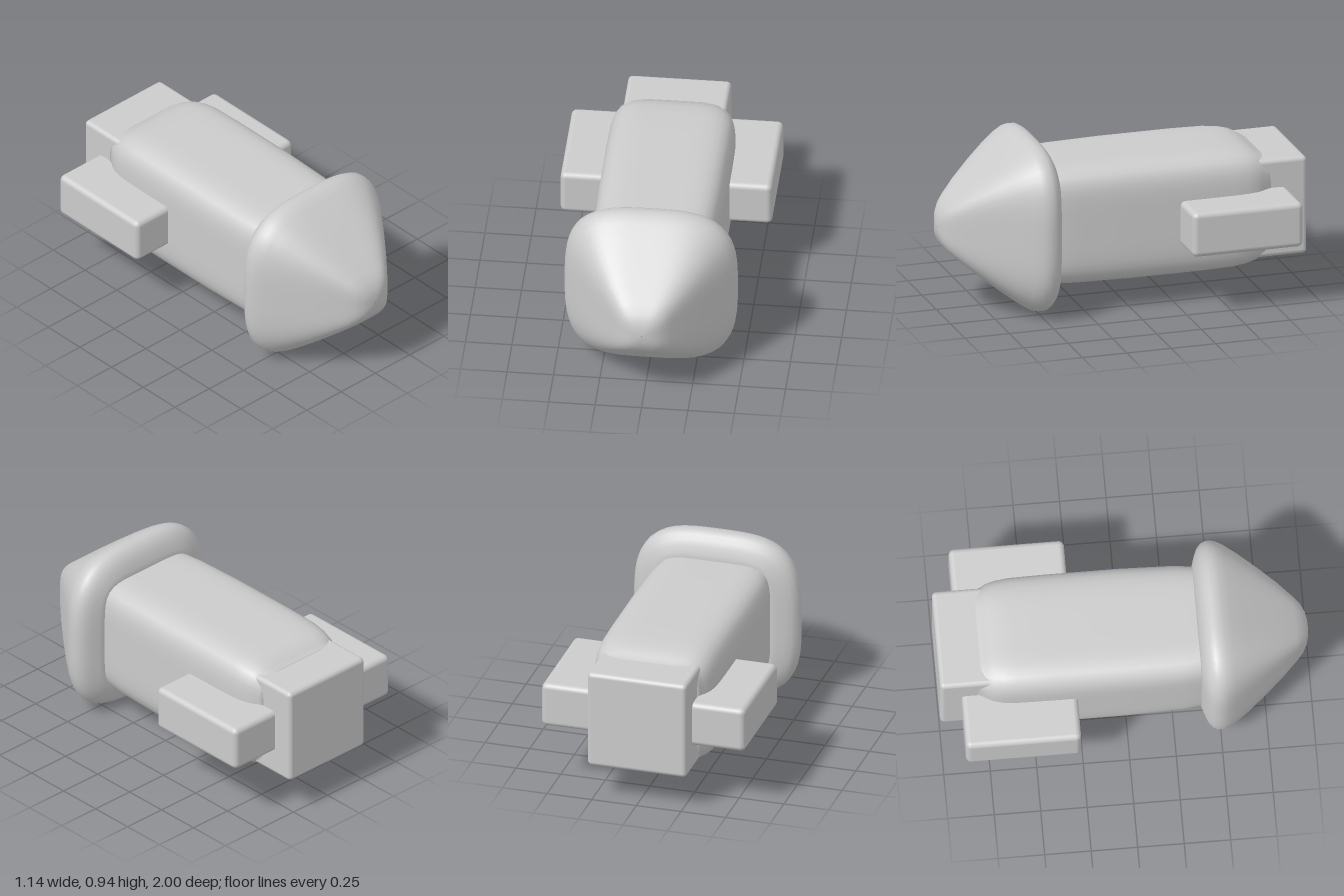
import * as THREE from 'three';
import { RoundedBoxGeometry } from 'three/addons/geometries/RoundedBoxGeometry.js';

const CY = 0.473; // height of the long axis
const SIDES = 72;

// Loft rounded-square rings along z. Section: [z, halfWidth, halfHeight, squareness, yOffset]
function loft(sections) {
  const pos = [], index = [];
  for (const [z, rx, ry, n, dy = 0] of sections) {
    for (let j = 0; j < SIDES; j++) {
      const t = (j / SIDES) * Math.PI * 2, c = Math.cos(t), s = Math.sin(t);
      const r = Math.pow(Math.pow(Math.abs(c), n) + Math.pow(Math.abs(s), n), -1 / n);
      pos.push(rx * r * c, CY + dy + ry * r * s, z);
    }
  }
  for (let i = 0; i < sections.length - 1; i++) {
    for (let j = 0; j < SIDES; j++) {
      const k = (j + 1) % SIDES;
      const a = i * SIDES + j, b = i * SIDES + k, c = a + SIDES, d = b + SIDES;
      index.push(a, c, b, b, c, d);
    }
  }
  const g = new THREE.BufferGeometry();
  g.setAttribute('position', new THREE.Float32BufferAttribute(pos, 3));
  g.setIndex(index);
  g.computeVertexNormals();
  return g;
}

export function createModel() {
  const group = new THREE.Group();
  const grey = new THREE.MeshStandardMaterial({ color: 0xcccccc });
  const add = (name, geometry, x = 0, y = 0, z = 0) => {
    const mesh = new THREE.Mesh(geometry, grey);
    mesh.name = name;
    mesh.position.set(x, y, z);
    group.add(mesh);
  };

  // Four-sided nose with a blunt tip, a rounded rim and a turned-in back lip
  add('noseCone', loft([
    [1.0, 0.002, 0.002, 3], [0.998, 0.04, 0.04, 3], [0.988, 0.08, 0.08, 3.5],
    [0.965, 0.118, 0.118, 4], [0.93, 0.152, 0.155, 4.5], [0.85, 0.22, 0.223, 5],
    [0.75, 0.3, 0.305, 4.6], [0.65, 0.378, 0.385, 4], [0.58, 0.43, 0.438, 3.6],
    [0.54, 0.455, 0.463, 3.4], [0.51, 0.465, 0.471, 3.3], [0.48, 0.465, 0.47, 3.3],
    [0.455, 0.453, 0.455, 3.3], [0.435, 0.43, 0.43, 3.4], [0.42, 0.395, 0.4, 3.7],
    [0.408, 0.355, 0.362, 4.3], [0.4, 0.325, 0.328, 5], [0.4, 0.002, 0.002, 5],
  ]));

  // Long fuselage, tapering gently at the rear
  add('fuselage', loft([
    [0.45, 0.315, 0.325, 5.5, 0.005], [0.4, 0.322, 0.327, 5.5, 0.005],
    [0.3, 0.334, 0.33, 5.5, 0.005], [0, 0.342, 0.334, 5.5, 0.005],
    [-0.4, 0.342, 0.334, 5.5, 0.005], [-0.58, 0.34, 0.33, 5.5, 0.005],
    [-0.66, 0.334, 0.322, 5.3, 0.005], [-0.71, 0.322, 0.31, 5.3, 0.005],
    [-0.745, 0.305, 0.293, 5.5, 0.003], [-0.77, 0.288, 0.28, 7, 0],
    [-0.8, 0.275, 0.272, 9, 0], [-0.82, 0.002, 0.002, 9, 0],
  ]));

  // Boxy tail block
  add('tailBlock', new RoundedBoxGeometry(0.555, 0.55, 0.35, 4, 0.025), 0, 0.475, -0.825);

  // A thick stub fin on each side
  for (const [name, side] of [['leftFin', 1], ['rightFin', -1]]) {
    add(name, new RoundedBoxGeometry(0.37, 0.25, 0.62, 4, 0.03), side * 0.385, 0.467, -0.575);
  }
  return group;
}
